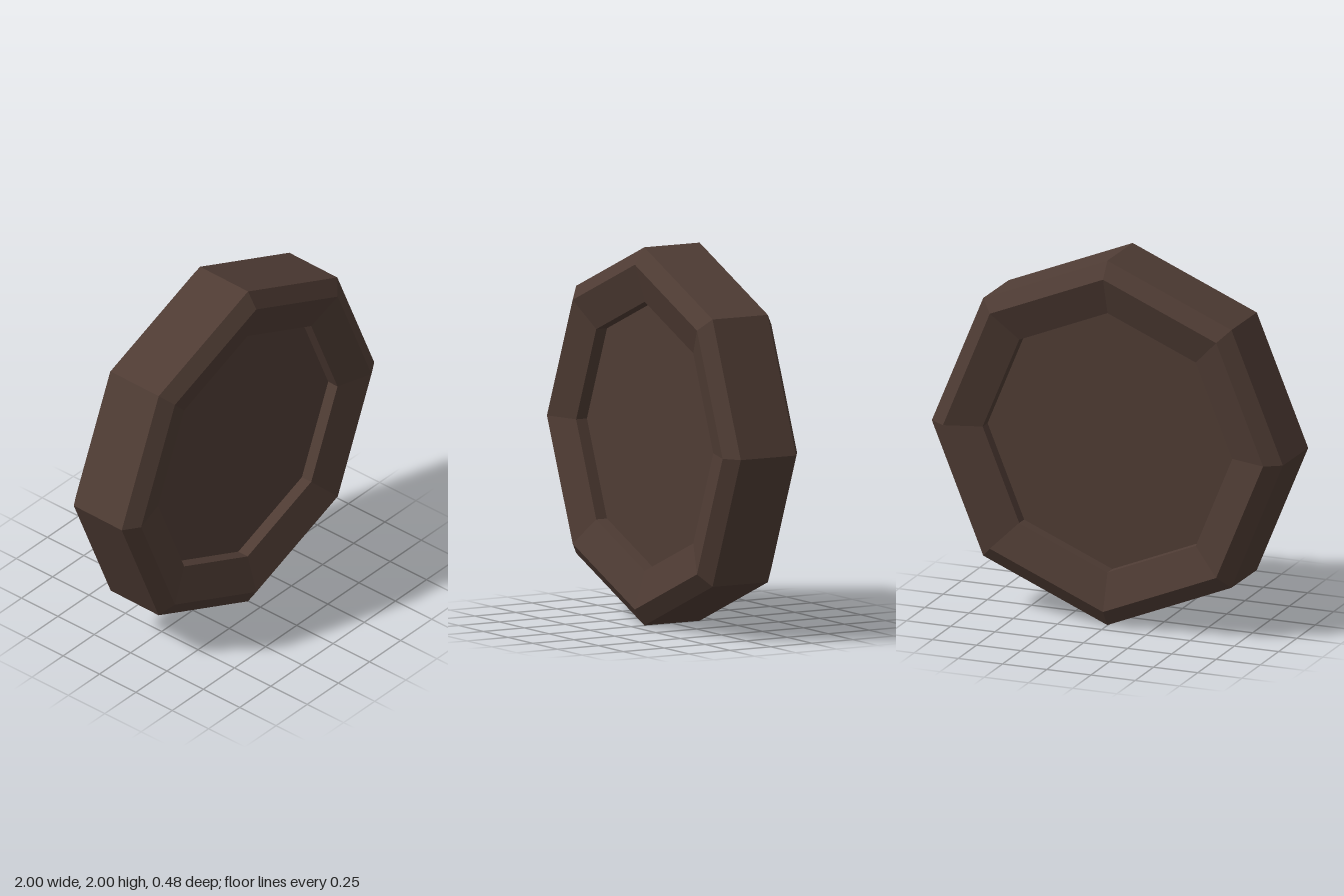
import * as THREE from 'three';

export function createModel() {
  const model = new THREE.Group();
  const brown = new THREE.MeshStandardMaterial({ color: 0x4f3c34, flatShading: true });
  brown.name = 'dark brown';

  const R = 0.998, SIDES = 8, HUB = 0.71, FACE = 0.1;
  const wheel = new THREE.Group();
  wheel.name = 'wheel';

  // Octagonal tyre: bevelled tread, dished sides and a short inner wall
  const half = [[1 * R, 0.167], [0.91, 0.225], [HUB, 0.165], [HUB, FACE]];
  const profile = [...half.map(([r, z]) => [r, -z]).reverse(), ...half]
    .map(([r, z]) => new THREE.Vector2(r, z));
  const tyreGeo = new THREE.LatheGeometry(profile, SIDES).rotateX(Math.PI / 2).toNonIndexed();
  tyreGeo.computeVertexNormals();
  const tyre = new THREE.Mesh(tyreGeo, brown);
  tyre.name = 'tyre';
  wheel.add(tyre);

  // Recessed hub plate on each side
  for (const side of [1, -1]) {
    const hub = new THREE.Mesh(new THREE.CircleGeometry(HUB, SIDES), brown);
    hub.name = side > 0 ? 'frontHub' : 'backHub';
    hub.position.z = side * FACE;
    if (side < 0) hub.rotation.y = Math.PI;
    wheel.add(hub);
  }

  // The wheel is turned very slightly about the vertical
  wheel.rotation.y = -0.014;
  wheel.position.y = R;
  model.add(wheel);
  return model;
}
